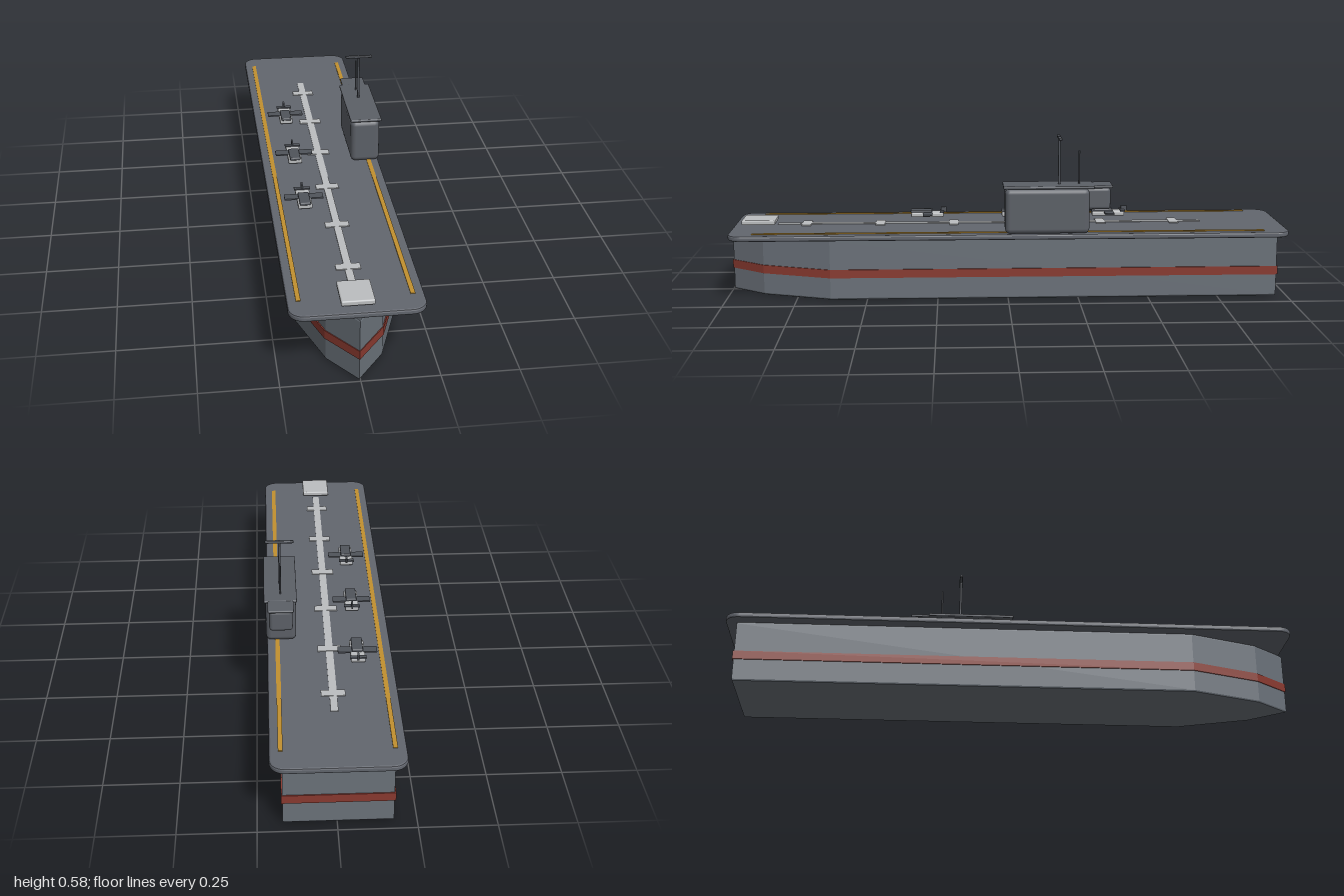
import * as THREE from 'three';
import { RoundedBoxGeometry } from 'three/addons/geometries/RoundedBoxGeometry.js';

const mat = (name, color) => {
  const m = new THREE.MeshStandardMaterial({ color });
  m.name = name;
  return m;
};

export function createModel() {
  const hullGrey = mat('hull grey', 0x6b727a);
  const deckGrey = mat('deck grey', 0x62666e);
  const towerGrey = mat('tower grey', 0x5c6067);
  const darkGrey = mat('dark grey', 0x50545b);
  const red = mat('waterline red', 0x8a3a30);
  const yellow = mat('stripe yellow', 0xc2912f);
  const light = mat('light grey', 0xbcbec0);

  const model = new THREE.Group();
  model.name = 'aircraftCarrier';
  const CX = -0.004; // ship centreline

  const add = (parent, name, geometry, material, x = 0, y = 0, z = 0) => {
    const mesh = new THREE.Mesh(geometry, material);
    mesh.name = name;
    mesh.position.set(x, y, z);
    parent.add(mesh);
    return mesh;
  };
  // Box given by its extents on each axis, optionally rounded
  const box = (parent, name, material, [x0, x1], [y0, y1], [z0, z1], r = 0) => {
    const s = [x1 - x0, y1 - y0, z1 - z0];
    const g = r ? new RoundedBoxGeometry(...s, 2, r) : new THREE.BoxGeometry(...s);
    return add(parent, name, g, material, (x0 + x1) / 2, (y0 + y1) / 2, (z0 + z1) / 2);
  };
  // Plan outline raised from y0 to y1, with a small bevel
  const slab = (name, material, shape, y0, y1, bevel) => {
    const g = new THREE.ExtrudeGeometry(shape, {
      depth: y1 - y0 - 2 * bevel, bevelEnabled: bevel > 0, bevelThickness: bevel,
      bevelSize: bevel, bevelOffset: -bevel, bevelSegments: 2, curveSegments: 8,
    });
    g.rotateX(-Math.PI / 2);
    return add(model, name, g, material, CX, y0 + bevel, 0);
  };

  // Hull outline: square stern, faceted pointed bow (shape y is -z)
  const hullShape = (grow) => {
    const half = [[0.174, -0.96], [0.174, 0.63], [0.09, 0.875]].map(([x, z]) =>
      [x + grow, z < 0 ? z - grow : z]);
    const pts = [...half, [0, 0.995 + grow], ...half.map(([x, z]) => [-x, z]).reverse()];
    return new THREE.Shape(pts.map(([x, z]) => new THREE.Vector2(x, -z)));
  };
  slab('hull', hullGrey, hullShape(0), 0, 0.222, 0.007);
  slab('waterlineBand', red, hullShape(0.004), 0.08, 0.11, 0);

  // Flight deck with rounded corners
  const w = 0.213, front = -0.985, back = 1, r = 0.05;
  const deck = new THREE.Shape();
  deck.moveTo(-w + r, front);
  deck.lineTo(w - r, front);
  deck.absarc(w - r, front + r, r, -Math.PI / 2, 0);
  deck.lineTo(w, back - r);
  deck.absarc(w - r, back - r, r, 0, Math.PI / 2);
  deck.lineTo(-w + r, back);
  deck.absarc(-w + r, back - r, r, Math.PI / 2, Math.PI);
  deck.lineTo(-w, front + r);
  deck.absarc(-w + r, front + r, r, Math.PI, Math.PI * 1.5);
  slab('flightDeck', deckGrey, deck, 0.221, 0.241, 0.006);

  // Deck markings
  for (const side of [-1, 1]) {
    const x = CX + side * 0.177;
    box(model, 'edgeStripe', yellow, [x - 0.0075, x + 0.0075], [0.24, 0.2435], [-0.91, 0.9]);
  }
  box(model, 'centreLine', light, [CX - 0.0125, CX + 0.0125], [0.24, 0.2435], [-0.71, 0.83]);
  for (let i = 0; i < 6; i++) {
    const z = -0.61 + i * 0.267;
    box(model, 'crossMark', light, [CX - 0.04, CX + 0.04], [0.24, 0.2445], [z - 0.0165, z + 0.0165]);
  }
  box(model, 'bowPanel', light, [CX - 0.0525, CX + 0.0525], [0.247, 0.265], [0.835, 0.955], 0.005);

  // Command island
  const island = new THREE.Group();
  island.name = 'island';
  model.add(island);
  box(island, 'tower', towerGrey, [0.107, 0.212], [0.241, 0.401], [-0.285, 0.012], 0.018);
  box(island, 'towerRoof', towerGrey, [0.104, 0.217], [0.402, 0.412], [-0.3, 0.018], 0.004);
  box(island, 'aftCabin', towerGrey, [0.12, 0.2], [0.325, 0.403], [-0.358, -0.27], 0.012);
  box(island, 'aftRoof', towerGrey, [0.116, 0.204], [0.402, 0.411], [-0.366, -0.29], 0.004);
  const mast = (name, radius, top, z) => add(island, name,
    new THREE.CylinderGeometry(radius, radius, top - 0.41, 12), darkGrey, 0.16, (top + 0.41) / 2, z);
  mast('mainMast', 0.0042, 0.581, -0.18);
  mast('antenna', 0.003, 0.53, -0.25);
  box(island, 'mastYard', darkGrey, [0.111, 0.209], [0.571, 0.58], [-0.186, -0.174], 0.003);

  // Parked aircraft, noses forward
  for (const z of [-0.384, -0.048, 0.288]) {
    const plane = new THREE.Group();
    plane.name = 'aircraft';
    plane.position.set(-0.098, 0, z);
    model.add(plane);
    box(plane, 'fuselage', light, [-0.0245, 0.0245], [0.247, 0.264], [-0.058, 0.062], 0.005);
    box(plane, 'wing', darkGrey, [-0.067, 0.067], [0.2595, 0.2645], [-0.017, 0.017]);
    box(plane, 'canopy', darkGrey, [-0.019, 0.019], [0.261, 0.272], [-0.015, 0.064], 0.004);
    box(plane, 'tailplane', darkGrey, [-0.028, 0.028], [0.263, 0.268], [-0.06, -0.044]);
    box(plane, 'tailFin', darkGrey, [-0.003, 0.003], [0.263, 0.282], [-0.069, -0.048]);
  }
  return model;
}
